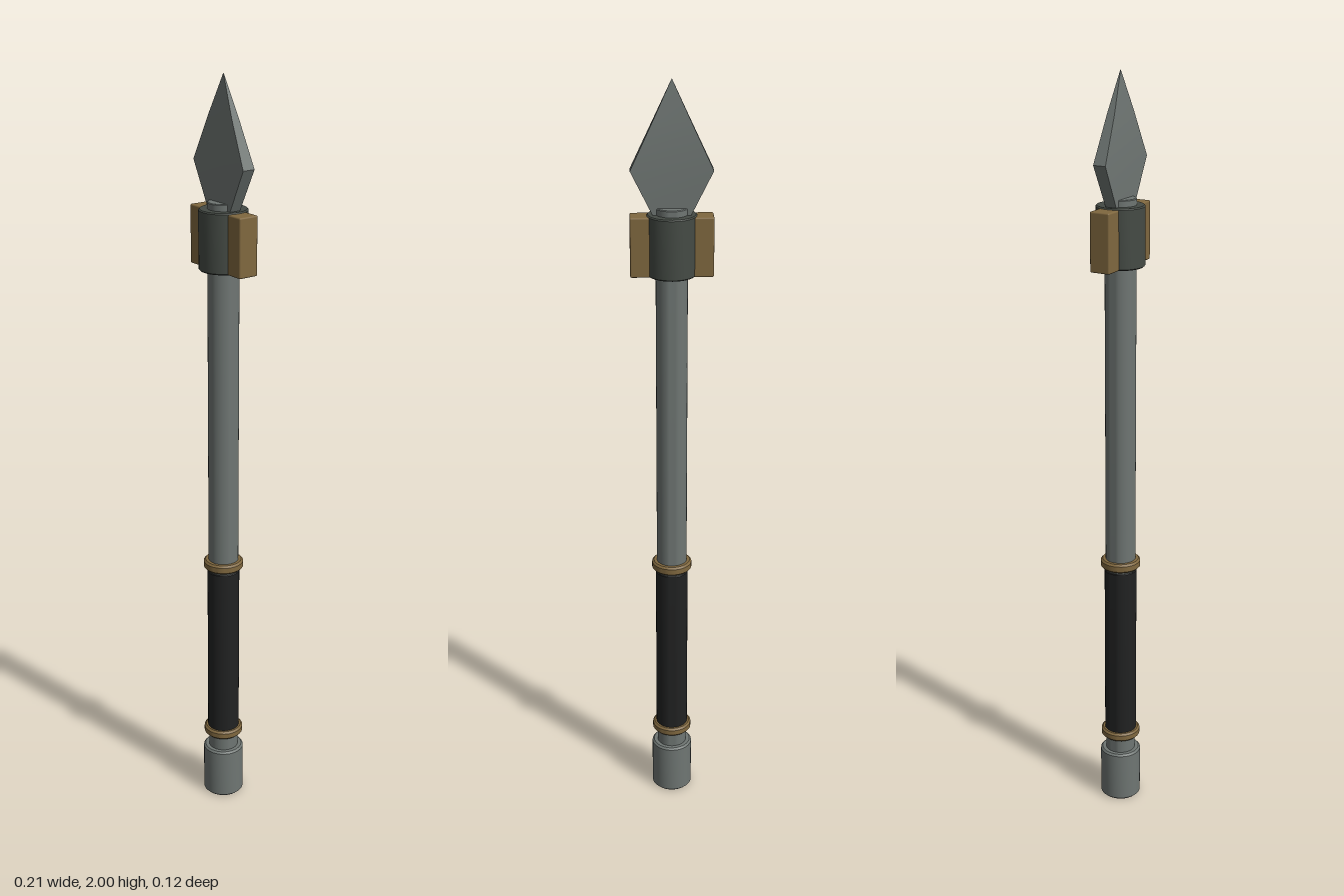
import * as THREE from 'three';
import { toCreasedNormals } from 'three/addons/utils/BufferGeometryUtils.js';
import { RoundedBoxGeometry } from 'three/addons/geometries/RoundedBoxGeometry.js';

function material(name, color) {
  const m = new THREE.MeshStandardMaterial({ color });
  m.name = name;
  return m;
}

export function createModel() {
  const group = new THREE.Group();
  const steel = material('steel', 0x6f7673);
  const darkSteel = material('dark steel', 0x454b45);
  const brass = material('brass', 0x80683f);
  const leather = material('black leather', 0x212222);

  function add(name, geometry, mat) {
    const mesh = new THREE.Mesh(geometry, mat);
    mesh.name = name;
    group.add(mesh);
    return mesh;
  }

  // Solid turned part with chamfered rims, between two heights
  function turned(name, radius, y0, y1, bevel, mat) {
    const profile = [
      [0, y0], [radius - bevel, y0], [radius, y0 + bevel],
      [radius, y1 - bevel], [radius - bevel, y1], [0, y1],
    ].map(([r, y]) => new THREE.Vector2(r, y));
    return add(name, toCreasedNormals(new THREE.LatheGeometry(profile, 32), 0.6), mat);
  }

  // Shaft, pommel and grip
  turned('shaft', 0.04, 0.1, 1.695, 0.002, steel);
  turned('pommel', 0.055, 0, 0.145, 0.005, steel);
  turned('grip', 0.043, 0.2, 0.695, 0.002, leather);

  // Brass rings at both ends of the grip
  turned('lowerRing', 0.053, 0.186, 0.21, 0.005, brass);
  turned('upperRing', 0.053, 0.702, 0.727, 0.005, brass);

  // Collar with a brass block on each side
  turned('collar', 0.062, 1.525, 1.678, 0.003, darkSteel);
  for (const side of [-1, 1]) {
    const block = add(side > 0 ? 'leftBlock' : 'rightBlock',
      new RoundedBoxGeometry(0.05, 0.15, 0.055, 2, 0.004), brass);
    block.position.set(side * 0.078, 1.6, 0);
  }

  // Blade: rectangular sections [y, half width, half depth] tapering to a point
  const sections = [
    [1.67, 0.043, 0.015], [1.786, 0.101, 0.017],
    [1.9, 0.047, 0.0105], [2, 0.0004, 0.0004],
  ];
  const positions = [];
  const index = [];
  sections.forEach(([y, w, d]) => positions.push(-w, y, d, w, y, d, w, y, -d, -w, y, -d));
  for (let s = 0; s < sections.length - 1; s++) {
    for (let i = 0; i < 4; i++) {
      const a = s * 4 + i, b = s * 4 + (i + 1) % 4;
      index.push(a, b, b + 4, a, b + 4, a + 4);
    }
  }
  const top = (sections.length - 1) * 4;
  index.push(0, 2, 1, 0, 3, 2, top, top + 1, top + 2, top, top + 2, top + 3);
  const blade = new THREE.BufferGeometry();
  blade.setAttribute('position', new THREE.Float32BufferAttribute(positions, 3));
  blade.setIndex(index);
  add('blade', toCreasedNormals(blade, 0.3), steel);

  return group;
}
